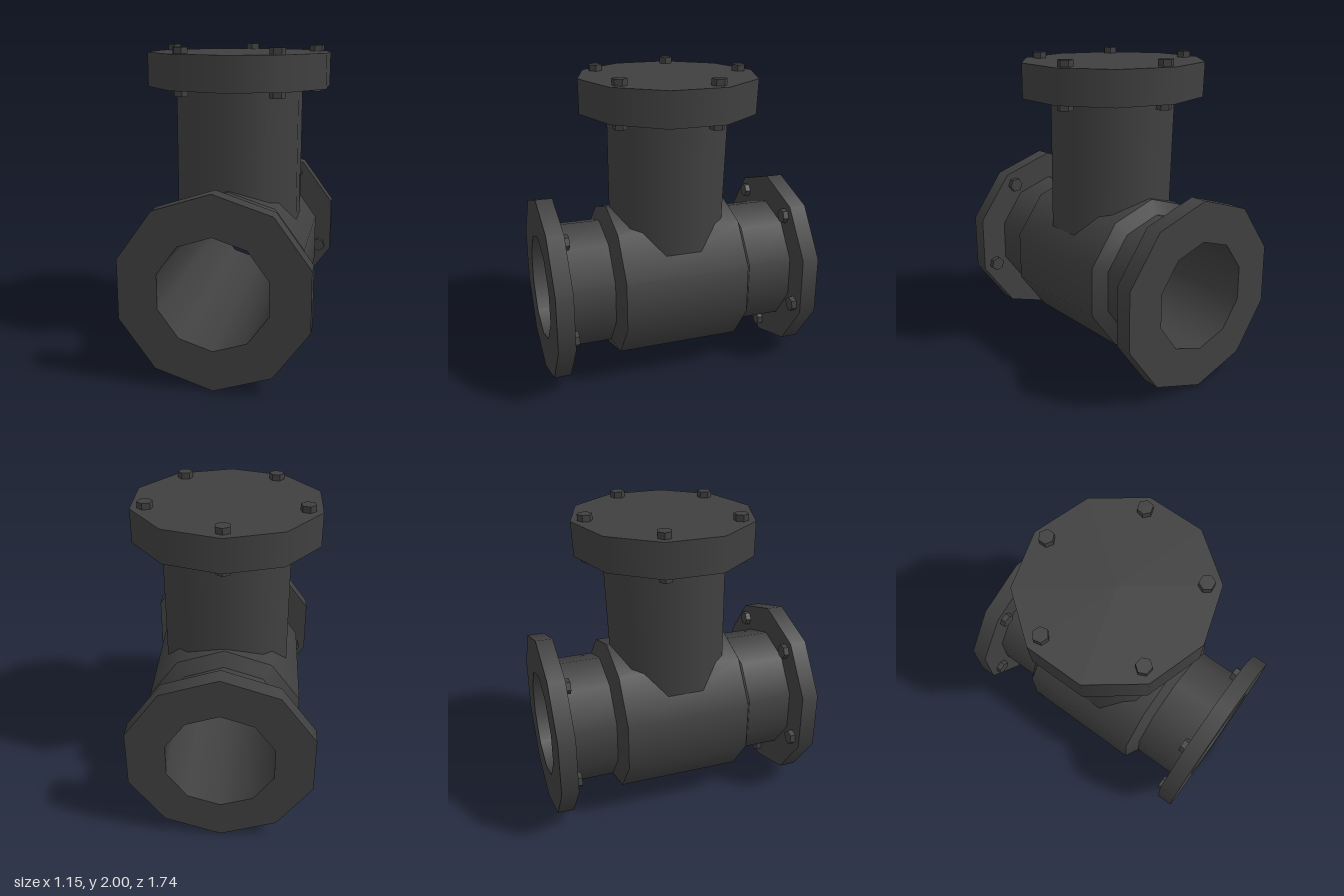
import * as THREE from 'three';
import { mergeGeometries } from 'three/addons/utils/BufferGeometryUtils.js';

const SIDES = 10;
const AXIS_Y = 0.605; // height of the main pipe axis

// Ten-sided turned part about y: smooth around, sharp between profile segments.
// Points given as [radius, height], upwards on the outside.
function turned(points) {
  const bands = [];
  for (let i = 0; i < points.length - 1; i++) {
    const pair = [points[i], points[i + 1]].map(([r, y]) => new THREE.Vector2(r, y));
    bands.push(new THREE.LatheGeometry(pair, SIDES));
  }
  return mergeGeometries(bands);
}

// Five flat-sided hexagon heads on a bolt circle about y
function boltCircle(y, height, offset) {
  const heads = [];
  for (let i = 0; i < 5; i++) {
    const head = new THREE.CylinderGeometry(0.049, 0.049, height, 6).toNonIndexed();
    head.computeVertexNormals();
    heads.push(head.translate(0, y, offset).rotateY((i * Math.PI * 2) / 5));
  }
  return mergeGeometries(heads);
}

// Lay a part from the y axis onto the main pipe axis
const alongPipe = (geometry) => geometry.rotateX(Math.PI / 2).translate(0, AXIS_Y, 0);

// The upright branch is slightly flattened in z and leans back as it rises
function lean(geometry) {
  const p = geometry.attributes.position;
  for (let i = 0; i < p.count; i++) {
    const t = (p.getY(i) - 1.1) / 0.86;
    p.setZ(i, p.getZ(i) * (0.925 + 0.04 * t) - 0.018 * t);
  }
  return geometry;
}

export function createModel() {
  const model = new THREE.Group();
  model.name = 'flangedTeePipe';
  const iron = new THREE.MeshStandardMaterial({ color: 0x404040 });
  iron.name = 'dark iron';

  function add(name, geometry) {
    const mesh = new THREE.Mesh(geometry, iron);
    mesh.name = name;
    model.add(mesh);
  }

  // Main pipe: body with chamfered shoulders, and the straight bore
  add('body', alongPipe(turned([[0.42, -0.46], [0.51, -0.41], [0.51, 0.41], [0.42, 0.46]])));
  add('bore', alongPipe(turned([[0.35, 0.87], [0.35, -0.87]])));

  // Both ends: pipe, flange ring and bolts on the inner face
  for (const [side, s] of [['front', 1], ['back', -1]]) {
    const span = (a, b) => (s > 0 ? [a, b] : [-b, -a]);
    const [p0, p1] = span(0.45, 0.77);
    add(side + 'Pipe', alongPipe(turned([[0.42, p0], [0.42, p1]])));
    const [f0, f1] = span(0.76, 0.87);
    add(side + 'Flange', alongPipe(turned([[0.35, f0], [0.605, f0], [0.605, f1], [0.35, f1]])));
    add(side + 'Bolts', alongPipe(boltCircle(s * 0.7475, 0.045, 0.51)));
  }

  // Upright branch, its lower rim following the curve of the body
  const branch = turned([[0.42, 1.0], [0.42, 1.75]]);
  const p = branch.attributes.position;
  for (let i = 0; i < p.count; i++) {
    if (p.getY(i) < 1.2) p.setY(i, 1.08 - 1.37 * p.getX(i) ** 2);
  }
  add('branch', lean(branch));

  // Closed cover with bolts passing through it
  add('cover', lean(turned([[0, 1.74], [0.605, 1.74], [0.605, 1.96], [0, 1.96]])));
  add('coverBolts', lean(boltCircle(1.98, 0.04, -0.51)));
  add('coverNuts', lean(boltCircle(1.72, 0.04, -0.51)));

  return model;
}
